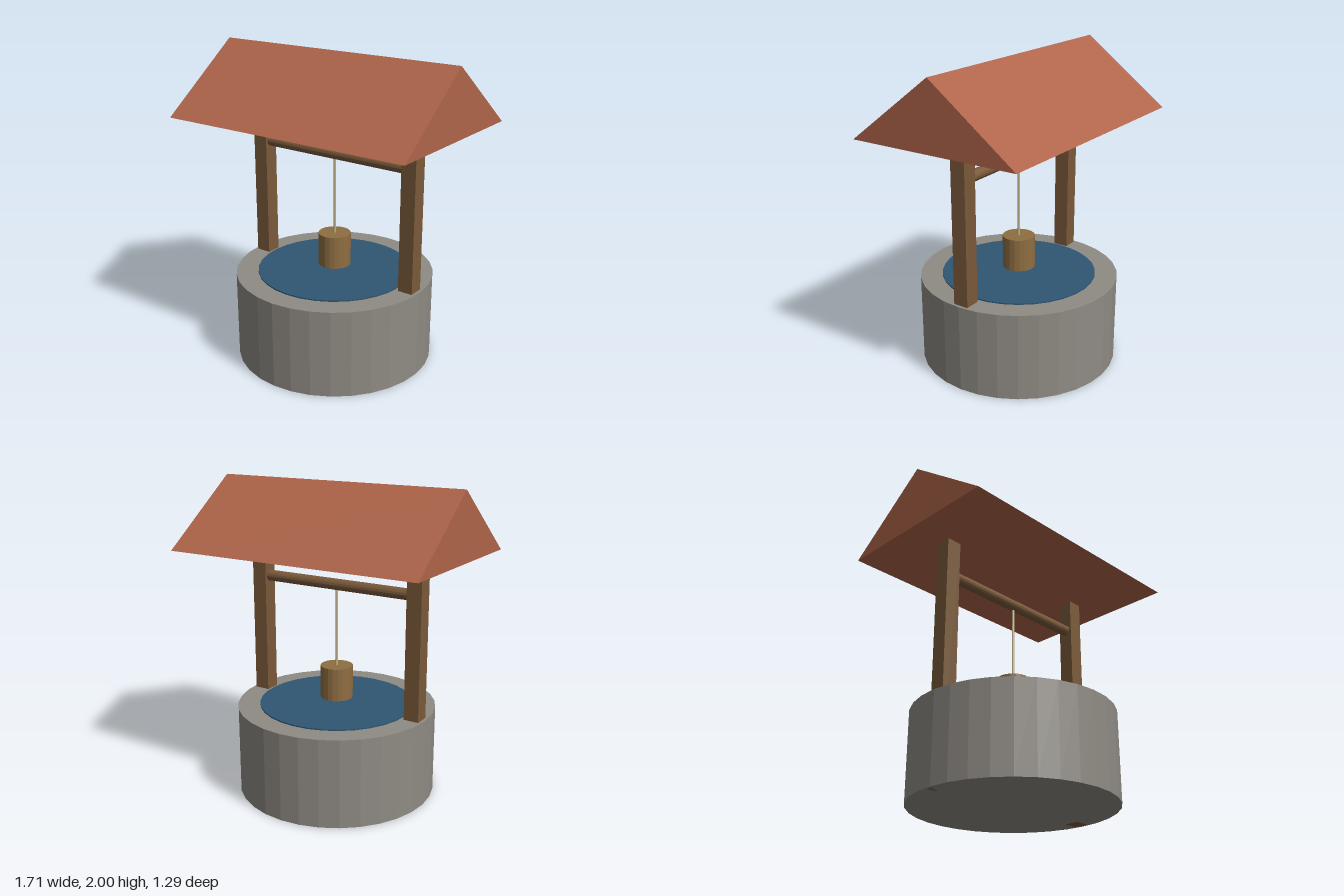
import * as THREE from 'three';

const paint = (color) => new THREE.MeshStandardMaterial({ color, flatShading: true });

export function createModel() {
  const well = new THREE.Group();
  well.name = 'well';

  const stone = paint(0x8f8b84);
  const wood = paint(0x7a5a3a);
  const bucketWood = paint(0x8f6e42);
  const rope = paint(0xc2b28a);
  const water = paint(0x2f5573);
  const tile = paint(0xb0654a);

  function add(name, geometry, material, x, y, z) {
    const mesh = new THREE.Mesh(geometry, material);
    mesh.name = name;
    mesh.position.set(x, y, z);
    well.add(mesh);
    return mesh;
  }

  // Round stone base with a thin disc of water on top
  add('stoneBase', new THREE.CylinderGeometry(0.643, 0.643, 0.571, 32), stone, 0, 0.2855, 0);
  add('water', new THREE.CylinderGeometry(0.5, 0.5, 0.014, 32), water, 0, 0.572, 0);

  // Posts run through the base up to the roof
  for (const [name, side] of [['leftPost', 1], ['rightPost', -1]]) {
    add(name, new THREE.BoxGeometry(0.1, 1.575, 0.1), wood, side * 0.571, 0.7875, 0);
  }

  // Winding bar between the posts
  const bar = add('windingBar', new THREE.CylinderGeometry(0.036, 0.036, 1.143, 16), wood, 0, 1.357, 0);
  bar.rotation.z = Math.PI / 2;

  // Rope and hanging bucket
  add('rope', new THREE.CylinderGeometry(0.008, 0.008, 0.54, 8), rope, 0, 1.087, 0);
  add('bucket', new THREE.CylinderGeometry(0.105, 0.105, 0.214, 20), bucketWood, 0, 0.717, 0);

  // Solid gable roof, its triangular section extruded along x
  const gable = new THREE.Shape([
    new THREE.Vector2(-0.568, 0),
    new THREE.Vector2(0.568, 0),
    new THREE.Vector2(0, 0.425),
  ]);
  const roof = new THREE.ExtrudeGeometry(gable, { depth: 1.71, bevelEnabled: false });
  roof.translate(0, 0, -0.855);
  roof.rotateY(Math.PI / 2);
  add('roof', roof, tile, 0, 1.575, 0);

  return well;
}
